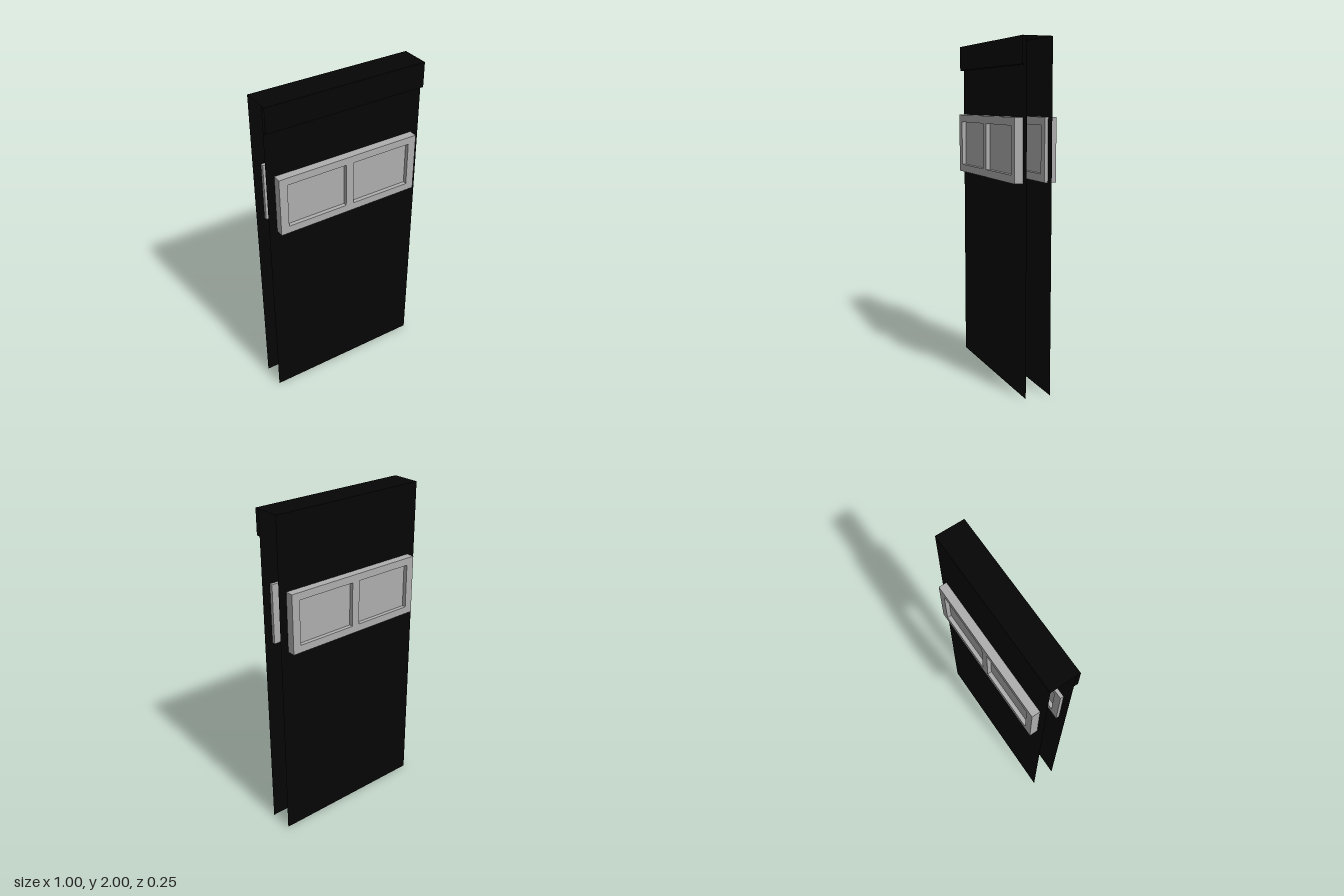
import * as THREE from 'three';

const WIN_Y = 1.39; // height of the window centre

// Outline of a rectangle given by centre and size
function rect(PathType, x, y, w, h) {
  const p = new PathType();
  p.moveTo(x - w / 2, y - h / 2);
  p.lineTo(x + w / 2, y - h / 2);
  p.lineTo(x + w / 2, y + h / 2);
  p.lineTo(x - w / 2, y + h / 2);
  p.closePath();
  return p;
}

// Rectangle with the two window openings cut out
function pierced(y, w, h) {
  const shape = rect(THREE.Shape, 0, y, w, h);
  for (const s of [-1, 1]) shape.holes.push(rect(THREE.Path, s * 0.2125, WIN_Y, 0.375, 0.27));
  return shape;
}

export function createModel() {
  const model = new THREE.Group();
  model.name = 'doorPanel';
  const black = new THREE.MeshStandardMaterial({ color: 0x050505, side: THREE.DoubleSide });
  black.name = 'black';
  const grey = new THREE.MeshStandardMaterial({ color: 0xaeaeae });
  grey.name = 'grey';

  const add = (parent, name, geometry, material, x = 0, y = 0, z = 0) => {
    const mesh = new THREE.Mesh(geometry, material);
    mesh.name = name;
    mesh.position.set(x, y, z);
    parent.add(mesh);
    return mesh;
  };

  // Front and back halves: thin sheet, window frame and two recessed panes
  for (const side of ['front', 'back']) {
    const half = new THREE.Group();
    half.name = side + 'Side';
    if (side === 'back') half.rotation.y = Math.PI;
    add(half, side + 'Sheet', new THREE.ShapeGeometry(pierced(1, 1, 2)), black, 0, 0, 0.075);
    const frame = new THREE.ExtrudeGeometry(pierced(WIN_Y, 0.9, 0.36), { depth: 0.07, bevelEnabled: false });
    add(half, side + 'WindowFrame', frame, grey, 0, 0, 0.055);
    for (const s of [-1, 1]) {
      add(half, side + 'Pane', new THREE.BoxGeometry(0.375, 0.27, 0.02), grey, s * 0.2125, WIN_Y, 0.09);
    }
    model.add(half);
  }

  // Open-ended cap that overhangs the front sheet
  const cap = new THREE.Group();
  cap.name = 'topCap';
  add(cap, 'capTop', new THREE.PlaneGeometry(1, 0.175), black, 0, 2, 0.0125).rotation.x = -Math.PI / 2;
  add(cap, 'capFront', new THREE.PlaneGeometry(1, 0.15), black, 0, 1.925, 0.1);
  add(cap, 'capLip', new THREE.PlaneGeometry(1, 0.025), black, 0, 1.85, 0.0875).rotation.x = Math.PI / 2;
  model.add(cap);

  return model;
}
